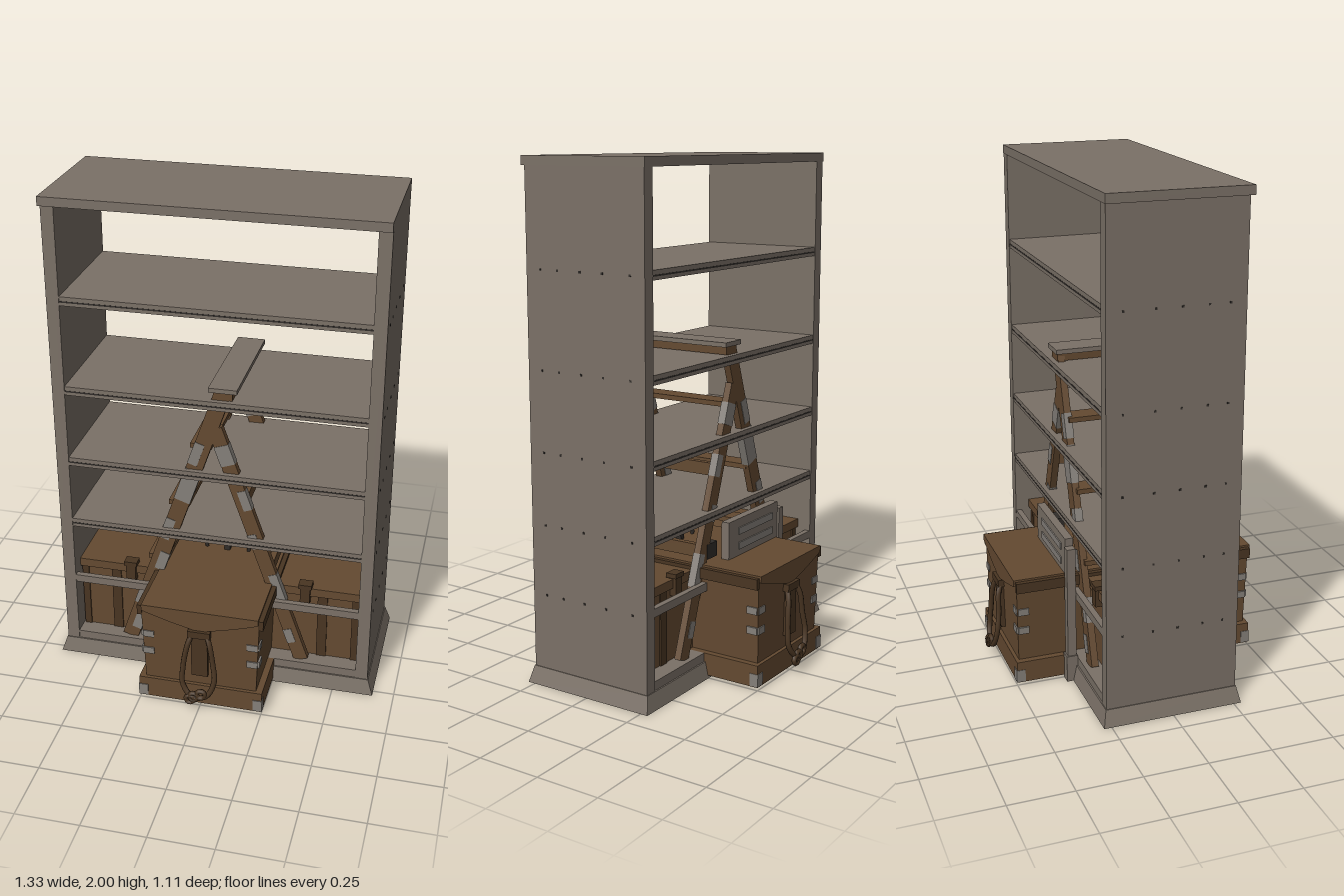
import * as THREE from 'three';

const mat = (name, color) => {
  const m = new THREE.MeshStandardMaterial({ color });
  m.name = name;
  return m;
};

export function createModel() {
  const root = new THREE.Group();
  const wood = mat('weatheredWood', 0x7b7167);
  const brown = mat('brownWood', 0x644a31);
  const dark = mat('darkRope', 0x493522);
  const grey = mat('greyPatch', 0x85807a);
  const black = mat('darkIron', 0x302c29);

  const add = (parent, name, geo, material, x = 0, y = 0, z = 0) => {
    const m = new THREE.Mesh(geo, material);
    m.name = name;
    m.position.set(x, y, z);
    parent.add(m);
    return m;
  };
  // box given by its limits on each axis
  const box = (parent, name, material, x0, x1, y0, y1, z0, z1) =>
    add(parent, name, new THREE.BoxGeometry(x1 - x0, y1 - y0, z1 - z0), material,
      (x0 + x1) / 2, (y0 + y1) / 2, (z0 + z1) / 2);
  // box whose top has different half sizes from its bottom
  const taper = (bx, bz, tx, tz, y0, y1) => {
    const g = new THREE.BoxGeometry(2, y1 - y0, 2);
    const p = g.attributes.position;
    for (let i = 0; i < p.count; i++) {
      const top = p.getY(i) > 0;
      p.setX(i, p.getX(i) * (top ? tx : bx));
      p.setZ(i, p.getZ(i) * (top ? tz : bz));
    }
    g.translate(0, (y0 + y1) / 2, 0);
    g.computeVertexNormals();
    return g;
  };
  const group = (name) => {
    const g = new THREE.Group();
    g.name = name;
    root.add(g);
    return g;
  };

  // Bookcase, open at front and back
  const bookcase = group('bookcase');
  add(bookcase, 'flaredBase', taper(0.665, 0.28, 0.643, 0.266, 0, 0.065), wood);
  box(bookcase, 'floorBoard', wood, -0.59, 0.59, 0.065, 0.1, -0.26, 0.26);
  box(bookcase, 'topBoard', wood, -0.645, 0.64, 1.965, 2, -0.265, 0.28);
  for (const s of [-1, 1]) {
    const side = box(bookcase, 'sidePanel', wood, -0.025, 0.025, 0.065, 1.966, -0.263, 0.263);
    side.position.x = s * 0.615;
  }
  const shelfHeights = [0.635, 0.915, 1.225, 1.595];
  for (const y of shelfHeights) {
    box(bookcase, 'shelf', wood, -0.592, 0.592, y - 0.018, y + 0.018, -0.26, 0.26);
    for (const s of [-1, 1])
      box(bookcase, 'shelfGroove', black, -0.59, 0.59, y - 0.005, y + 0.001, s * 0.26 - 0.001, s * 0.26 + 0.001);
  }
  // short rails beside the chest
  for (const s of [-1, 1])
    for (const z of [-0.25, 0.25]) {
      const rail = box(bookcase, 'lowRail', wood, -0.18, 0.18, 0.35, 0.382, z - 0.012, z + 0.012);
      rail.position.x = s * 0.415;
    }
  // nail heads in the side panels
  for (const s of [-1, 1])
    for (const y of [0.36, ...shelfHeights])
      for (const z of [-0.2, -0.08, 0.02, 0.12, 0.2])
        add(bookcase, 'nail', new THREE.BoxGeometry(0.004, 0.008, 0.008), black, s * 0.64, y, z);

  // Long chest sticking out at both ends
  const chest = group('longChest');
  add(chest, 'chestBody', taper(0.225, 0.485, 0.238, 0.492, 0.06, 0.43), brown);
  for (const s of [-1, 1]) {
    box(chest, 'footSide', brown, s * 0.238 - 0.014, s * 0.238 + 0.014, 0.012, 0.1, -0.5, 0.5);
    box(chest, 'footEnd', brown, -0.25, 0.25, 0.012, 0.1, s * 0.486 - 0.014, s * 0.486 + 0.014);
    box(chest, 'lidEdge', dark, s * 0.244 - 0.01, s * 0.244 + 0.01, 0.4, 0.442, -0.495, 0.495);
  }
  const lidShape = new THREE.Shape();
  lidShape.moveTo(-0.235, 0.45);
  lidShape.lineTo(-0.235, 0.425);
  lidShape.quadraticCurveTo(-0.12, 0.385, 0, 0.36);
  lidShape.quadraticCurveTo(0.12, 0.385, 0.235, 0.425);
  lidShape.lineTo(0.235, 0.45);
  add(chest, 'chestLid', new THREE.ExtrudeGeometry(lidShape, { depth: 1.004, bevelEnabled: false }),
    brown, 0, 0, -0.502);
  // metal corner plates
  for (const sx of [-1, 1])
    for (const sz of [-1, 1]) {
      for (const y of [0.31, 0.23]) {
        box(chest, 'cornerPlateEnd', grey, sx * 0.21 - 0.022, sx * 0.21 + 0.022, y - 0.014, y + 0.014, sz * 0.49 - 0.004, sz * 0.49 + 0.004);
        box(chest, 'cornerPlateSide', grey, sx * 0.236 - 0.004, sx * 0.236 + 0.004, y - 0.014, y + 0.014, sz * 0.465 - 0.022, sz * 0.465 + 0.022);
      }
      box(chest, 'footPlate', grey, sx * 0.235 - 0.019, sx * 0.235 + 0.019, 0.015, 0.065, sz * 0.485 - 0.018, sz * 0.485 + 0.018);
    }
  // hanging rope handles
  const loop = new THREE.CatmullRomCurve3([
    [-0.025, 0.36, 0.495], [-0.045, 0.3, 0.515], [-0.062, 0.2, 0.522], [-0.062, 0.12, 0.53], [-0.02, 0.07, 0.542],
    [0.035, 0.08, 0.54], [0.066, 0.15, 0.53], [0.058, 0.23, 0.52], [0.045, 0.31, 0.515], [0.025, 0.36, 0.495],
  ].map((p) => new THREE.Vector3(...p)));
  for (const turn of [0, Math.PI]) {
    const handle = new THREE.Group();
    handle.name = 'ropeHandle';
    handle.rotation.y = turn;
    chest.add(handle);
    add(handle, 'rope', new THREE.TubeGeometry(loop, 40, 0.011, 8), dark);
    box(handle, 'strap', dark, -0.033, 0.033, 0.15, 0.36, 0.485, 0.505);
    box(handle, 'strapTop', dark, -0.045, 0.045, 0.335, 0.365, 0.49, 0.515);
    for (const [x, y] of [[-0.015, 0.075], [0.015, 0.09], [-0.03, 0.062]])
      add(handle, 'knot', new THREE.TorusGeometry(0.017, 0.01, 6, 10), dark, x, y, 0.545);
  }

  // Wide chest lying across the bookcase
  const crate = group('wideChest');
  box(crate, 'crateBody', brown, -0.58, 0.58, 0.1, 0.4, -0.19, 0.19);
  box(crate, 'crateLid', brown, -0.588, 0.588, 0.392, 0.428, -0.205, 0.205);
  for (const sx of [-1, 1])
    for (const sz of [-1, 1]) {
      box(crate, 'latch', dark, sx * 0.365 - 0.02, sx * 0.365 + 0.02, 0.36, 0.45, sz * 0.2 - 0.018, sz * 0.2 + 0.018);
      box(crate, 'latchCap', dark, sx * 0.365 - 0.027, sx * 0.365 + 0.027, 0.432, 0.45, sz * 0.2 - 0.022, sz * 0.2 + 0.022);
      box(crate, 'band', dark, sx * 0.435 - 0.02, sx * 0.435 + 0.02, 0.1, 0.39, sz * 0.19 - 0.006, sz * 0.19 + 0.006);
      box(crate, 'cornerBand', dark, sx * 0.57 - 0.014, sx * 0.57 + 0.014, 0.1, 0.39, sz * 0.19 - 0.006, sz * 0.19 + 0.006);
    }
  // iron ring and post standing on top
  add(crate, 'ironRing', new THREE.TorusGeometry(0.09, 0.008, 6, 24), black, 0, 0.46, 0.02);
  box(crate, 'ironPost', black, -0.012, 0.012, 0.43, 0.595, 0.01, 0.034);
  box(crate, 'ironBlock', black, 0.13, 0.2, 0.46, 0.52, -0.24, -0.18);

  // Folding ladder with flaked paint
  const ladder = group('ladder');
  const beam = (name, a, b, w, z, patches) => {
    const g = new THREE.Group();
    g.name = name;
    const dx = b[0] - a[0], dy = b[1] - a[1], len = Math.hypot(dx, dy);
    g.position.set((a[0] + b[0]) / 2, (a[1] + b[1]) / 2, z);
    g.rotation.z = Math.atan2(dy, dx) - Math.PI / 2;
    ladder.add(g);
    box(g, 'legBeam', brown, -w / 2, w / 2, -len / 2, len / 2, -0.014, 0.014);
    // each patch: start and end along the leg, and its side
    for (const [t0, t1, s] of patches)
      box(g, 'paintPatch', grey, s > 0 ? -w * 0.1 : -w / 2 - 0.001, s < 0 ? w * 0.1 : w / 2 + 0.001,
        (t0 - 0.5) * len, (t1 - 0.5) * len, -0.016, 0.016);
  };
  for (const z of [-0.225, 0.225]) {
    beam('leftLeg', [-0.37, 0.1], [0.035, 1.28], 0.066, z,
      [[0.04, 0.1, 1], [0.14, 0.22, -1], [0.3, 0.37, 1], [0.42, 0.5, -1], [0.58, 0.7, 0], [0.72, 0.8, -1]]);
    beam('rightLeg', [0.36, 0.1], [0.0, 1.12], 0.058, z,
      [[0.08, 0.14, -1], [0.26, 0.38, 1], [0.5, 0.56, -1], [0.66, 0.74, 1], [0.85, 0.93, 0]]);
  }
  box(ladder, 'topStep', wood, -0.022, 0.09, 1.277, 1.295, -0.25, 0.25);
  box(ladder, 'topBlock', brown, -0.005, 0.07, 1.245, 1.277, -0.24, 0.24);
  for (const y of [0.5, 0.765, 1.03]) {
    const x = -0.37 + (y - 0.1) * 0.343;
    box(ladder, 'step', brown, x - 0.05, x + 0.035, y - 0.01, y + 0.01, -0.225, 0.225);
  }
  for (const y of [0.5, 0.8]) {
    const x = 0.36 - (y - 0.1) * 0.353;
    box(ladder, 'brace', brown, x - 0.012, x + 0.012, y - 0.025, y + 0.025, -0.225, 0.225);
  }

  // Loose boards leaning on the back
  const boards = group('looseBoards');
  box(boards, 'wideBoard', wood, -0.245, 0.132, 0.45, 0.6, -0.295, -0.262);
  for (const y of [0.49, 0.55])
    box(boards, 'boardStrip', grey, -0.2, 0.06, y - 0.014, y + 0.014, -0.3, -0.29);
  box(boards, 'post', wood, -0.285, -0.25, 0, 0.57, -0.3, -0.265);
  box(boards, 'postFoot', wood, -0.29, -0.245, 0, 0.11, -0.306, -0.26);

  return root;
}
